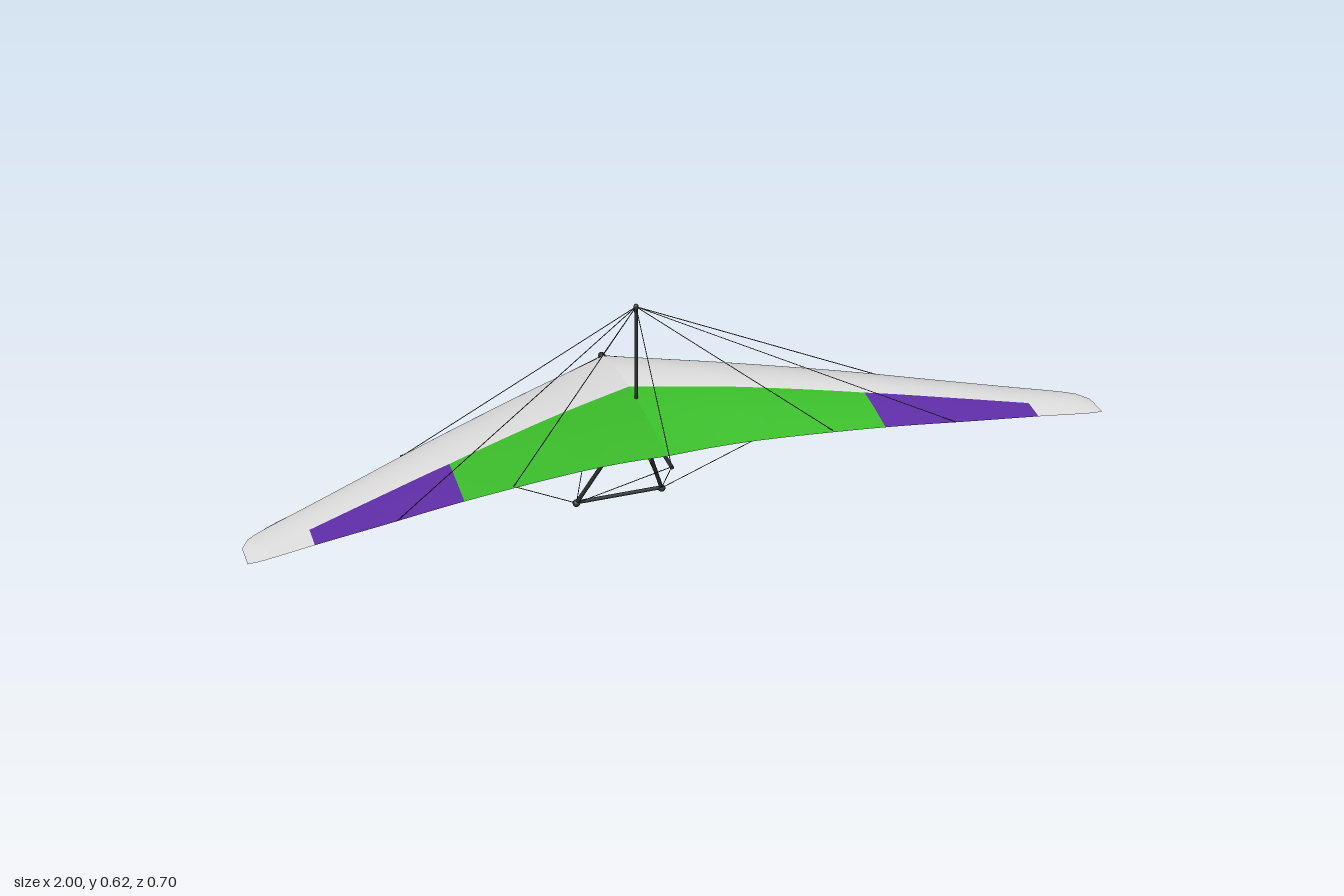
import * as THREE from 'three';

const mat = (name, color, side = THREE.FrontSide) => {
  const m = new THREE.MeshStandardMaterial({ color, side });
  m.name = name;
  return m;
};

// Smooth interpolation of column c in a table whose first column is the parameter
function sample(rows, c, x) {
  const n = rows.length;
  let i = 0;
  while (i < n - 2 && x > rows[i + 1][0]) i++;
  const slope = (a, b) => (rows[b][c] - rows[a][c]) / (rows[b][0] - rows[a][0]);
  const h = rows[i + 1][0] - rows[i][0], s = (x - rows[i][0]) / h;
  const m0 = slope(Math.max(i - 1, 0), i + 1), m1 = slope(i, Math.min(i + 2, n - 1));
  const s2 = s * s, s3 = s2 * s;
  return (2 * s3 - 3 * s2 + 1) * rows[i][c] + (s3 - 2 * s2 + s) * h * m0
    + (3 * s2 - 2 * s3) * rows[i + 1][c] + (s3 - s2) * h * m1;
}

// Span stations: x, leading z, trailing z, leading y, trailing y, upper camber, lower camber
const STATIONS = [
  [0, -0.335, 0.165, 0.332, 0.342, 0.031, 0.029],
  [0.12, -0.265, 0.174, 0.339, 0.35, 0.034, 0.025],
  [0.25, -0.19, 0.197, 0.346, 0.36, 0.035, 0.018],
  [0.5, -0.042, 0.25, 0.358, 0.373, 0.029, 0.009],
  [0.7, 0.076, 0.294, 0.363, 0.377, 0.02, 0.007],
  [0.85, 0.164, 0.325, 0.367, 0.379, 0.012, 0.005],
  [0.95, 0.225, 0.346, 0.371, 0.379, 0.007, 0.004],
  [0.985, 0.255, 0.35, 0.374, 0.378, 0.004, 0.003],
  [1, 0.285, 0.35, 0.376, 0.378, 0.001, 0.001],
];
// Chord profile: t, upper, lower
const PROFILE = [
  [0, 0, 0], [0.02, 0.24, -0.3], [0.08, 0.52, -0.65], [0.2, 0.84, -0.98], [0.35, 1, -0.85],
  [0.5, 0.96, -0.5], [0.67, 0.74, -0.15], [0.85, 0.36, 0.08], [1, 0, 0],
];

function wingPoint(x, t, upper) {
  const [z0, z1, y0, y1, up, low] = [1, 2, 3, 4, 5, 6].map((c) => sample(STATIONS, c, x));
  const camber = upper ? up * sample(PROFILE, 1, t) : low * sample(PROFILE, 2, t);
  return new THREE.Vector3(x, y0 + (y1 - y0) * t + camber, z0 + (z1 - z0) * t);
}

// Chord fraction of the colour border at span x
function border(x) {
  const z = x < 0.5 ? -0.12 + 0.48 * x : 0.12 + 0.43 * (x - 0.5);
  const z0 = sample(STATIONS, 1, x), z1 = sample(STATIONS, 2, x);
  return (z - z0) / (z1 - z0);
}

// Patch of sail skin between two span positions and two chord limits
function panel(x0, x1, tFrom, tTo, upper, mirror) {
  const nx = Math.max(6, Math.ceil((x1 - x0) * 50)), nt = 14;
  const pos = [], nor = [], idx = [];
  const e = 0.002;
  for (let i = 0; i <= nx; i++) {
    const x = x0 + (x1 - x0) * i / nx;
    for (let j = 0; j <= nt; j++) {
      const a = tFrom(x), b = tTo(x), u = j / nt;
      const t = a + (b - a) * (a === 0 ? u * u : u);
      const p = wingPoint(x, t, upper);
      const dx = wingPoint(Math.min(x + e, 1), t, upper).sub(wingPoint(Math.max(x - e, 0), t, upper));
      const dt = wingPoint(x, Math.min(t + e, 1), upper).sub(wingPoint(x, Math.max(t - e, 0), upper));
      const n = dt.cross(dx).normalize().multiplyScalar(upper ? 1 : -1);
      pos.push(p.x * mirror, p.y, p.z);
      nor.push(n.x * mirror, n.y, n.z);
      if (i < nx && j < nt) {
        const k = i * (nt + 1) + j, r = k + nt + 1;
        if (upper === (mirror > 0)) idx.push(k, k + 1, r, k + 1, r + 1, r);
        else idx.push(k, r, k + 1, k + 1, r, r + 1);
      }
    }
  }
  const g = new THREE.BufferGeometry();
  g.setAttribute('position', new THREE.Float32BufferAttribute(pos, 3));
  g.setAttribute('normal', new THREE.Float32BufferAttribute(nor, 3));
  g.setIndex(idx);
  return g;
}

export function createModel() {
  const model = new THREE.Group();
  model.name = 'hangGlider';
  const white = mat('white sail', 0xe2e2e2);
  const green = mat('green sail', 0x3cbf2b);
  const purple = mat('purple sail', 0x5f2ea8);
  const dark = mat('dark tubing', 0x2c3230);

  const add = (name, geometry, material, parent = model) => {
    const m = new THREE.Mesh(geometry, material);
    m.name = name;
    parent.add(m);
    return m;
  };
  const rod = (name, a, b, r, sides = 12) => {
    const p = new THREE.Vector3(...a), q = new THREE.Vector3(...b);
    const d = q.clone().sub(p);
    const m = add(name, new THREE.CylinderGeometry(r, r, d.length(), sides), dark);
    m.position.copy(p).add(q).multiplyScalar(0.5);
    m.quaternion.setFromUnitVectors(new THREE.Vector3(0, 1, 0), d.normalize());
  };
  const ball = (name, p, r, sx = 1, sy = 1, sz = 1) => {
    const m = add(name, new THREE.SphereGeometry(r, 16, 12), dark);
    m.position.set(...p);
    m.scale.set(sx, sy, sz);
  };
  const wire = (name, a, b) => rod(name, a, b, 0.001, 6);

  // Sail skins, split along the colour borders
  const front = () => 0, back = () => 1;
  const strip = (x) => 0.88 + 0.12 * (x - 0.5) / 0.2;
  const skins = [
    ['upperFront', 0, 0.5, front, border, true, white],
    ['upperFrontOuter', 0.5, 0.85, front, border, true, white],
    ['upperCentre', 0, 0.5, border, back, true, green],
    ['upperStripe', 0.5, 0.85, border, back, true, purple],
    ['upperTip', 0.85, 1, front, back, true, white],
    ['lowerFront', 0, 0.5, front, border, false, white],
    ['lowerCentre', 0, 0.5, border, back, false, green],
    ['lowerOuter', 0.5, 0.7, front, strip, false, white],
    ['lowerStripe', 0.5, 0.7, strip, back, false, purple],
    ['lowerOuterEnd', 0.7, 0.87, front, back, false, white],
    ['lowerTip', 0.87, 1, front, back, false, purple],
  ];
  for (const side of [1, -1]) {
    const sail = new THREE.Group();
    sail.name = side > 0 ? 'leftSail' : 'rightSail';
    model.add(sail);
    for (const [name, x0, x1, a, b, upper, m] of skins) add(name, panel(x0, x1, a, b, upper, side), m, sail);
  }

  // Keel, nose cap and king post
  const mast = [0, 0.61, -0.066], nose = [0, 0.333, -0.335], tail = [0, 0.33, 0.193];
  rod('keel', nose, [0, 0.33, 0.197], 0.0045);
  ball('noseCap', nose, 0.01, 0.9, 0.9, 1.4);
  rod('kingPost', [0, 0.31, -0.066], mast, 0.0042);
  ball('kingPostCap', mast, 0.006, 1, 1.2, 1);
  rod('frameBracket', [0, 0.302, -0.068], [0, 0.335, -0.064], 0.007);
  wire('upperNoseWire', mast, nose);
  wire('upperTailWire', mast, tail);

  // Control frame base
  rod('baseBar', [-0.11, 0.012, -0.203], [0.11, 0.012, -0.203], 0.0048);

  for (const s of [1, -1]) {
    const corner = [0.11 * s, 0.01, -0.203], joint = [0.585 * s, 0.362, 0.008];
    // Wing tubes
    const path = new THREE.CatmullRomCurve3([
      [0, 0.333, -0.33], [0.25, 0.344, -0.186], [0.5, 0.355, -0.038], [0.7, 0.36, 0.08],
      [0.85, 0.363, 0.166], [0.94, 0.364, 0.217], [0.975, 0.365, 0.25],
    ].map(([x, y, z]) => new THREE.Vector3(x * s, y, z)));
    add('leadingEdgeTube', new THREE.TubeGeometry(path, 40, 0.0045, 10), dark);
    ball('leadingEdgeEnd', [0.975 * s, 0.365, 0.25], 0.0055);
    rod('crossBar', [0, 0.363, -0.12], joint, 0.0035);
    // Control frame
    rod('downTube', [0, 0.318, -0.068], corner, 0.005);
    ball('frameCorner', corner, 0.0095);
    // Rigging
    wire('upperSideWire', mast, joint);
    wire('upperTrailingWire', mast, [0.38 * s, 0.372, 0.223]);
    wire('upperOuterWire', mast, [0.66 * s, 0.377, 0.285]);
    wire('lowerNoseWire', corner, nose);
    wire('lowerSideWire', corner, joint);
    wire('lowerTailWire', corner, tail);
  }
  return model;
}
